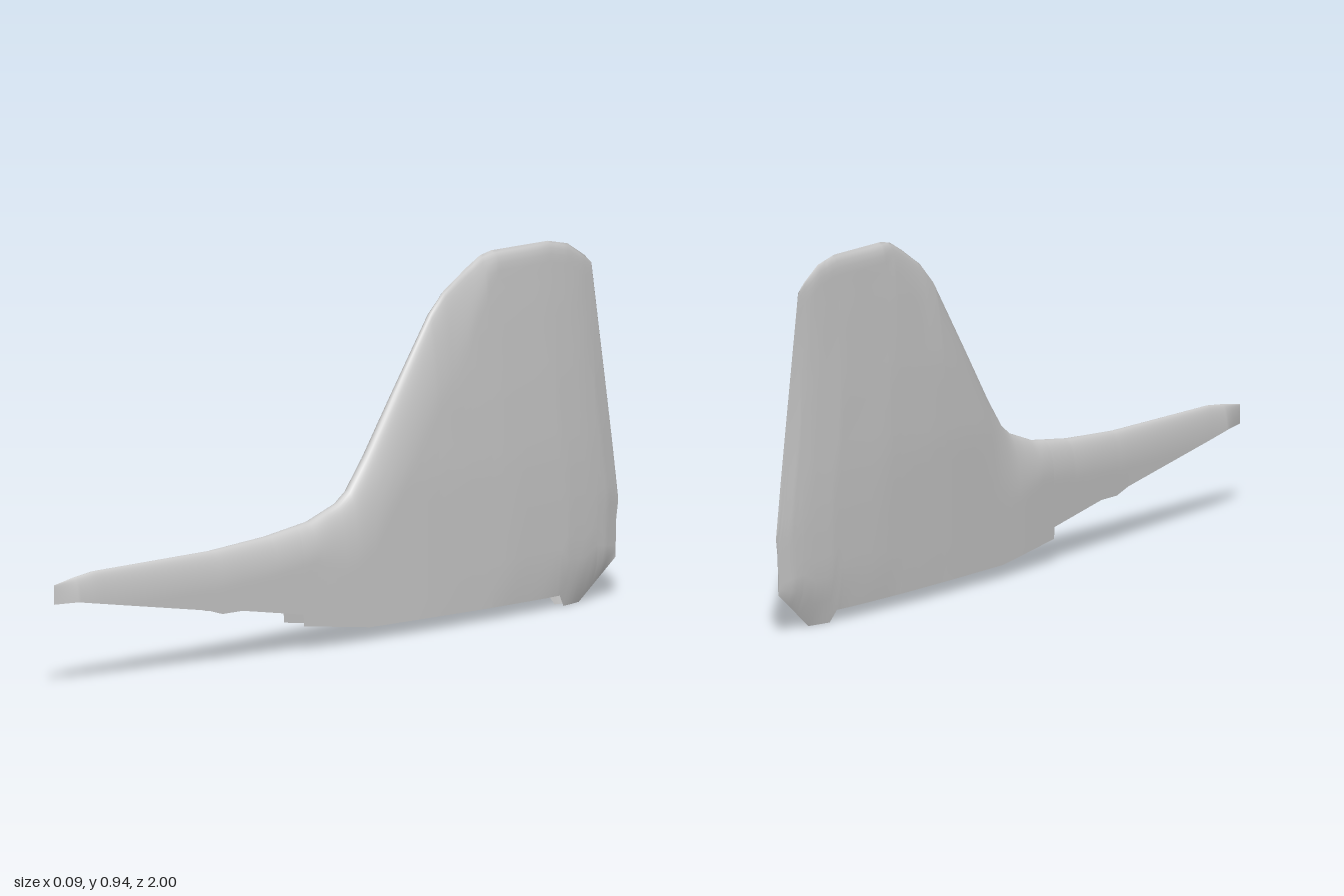
import * as THREE from 'three';

// Piecewise-linear lookup in a list of [key, value] pairs with descending keys
function lookup(table, k) {
  if (k >= table[0][0]) return table[0][1];
  for (let i = 1; i < table.length; i++) {
    const [k0, v0] = table[i - 1], [k1, v1] = table[i];
    if (k >= k1) return v0 + (v1 - v0) * (k0 - k) / (k0 - k1);
  }
  return table[table.length - 1][1];
}

// Side outline: z -> height of the upper and lower edges
const TOP = [[1, 0.27], [0.93, 0.282], [0.86, 0.29], [0.45, 0.292], [0.25, 0.305], [0.1, 0.325], [0, 0.36],
  [-0.04, 0.39], [-0.1, 0.47], [-0.2, 0.62], [-0.33, 0.81], [-0.38, 0.86], [-0.46, 0.91], [-0.51, 0.937],
  [-0.55, 0.945], [-0.75, 0.945], [-0.82, 0.93], [-0.88, 0.893], [-0.905, 0.87], [-0.93, 0.71],
  [-0.96, 0.52], [-0.98, 0.39], [-1, 0.25]];
const BOTTOM = [[1, 0.22], [0.93, 0.22], [0.48, 0.145], [0.43, 0.13], [0.36, 0.13], [0.15, 0.095],
  [0.149, 0.065], [-0.08, 0.035], [-0.77, 0.03], [-0.79, 0], [-0.86, 0], [-0.99, 0.1], [-0.992, 0.2], [-1, 0.245]];

// Thickness rules: along the length, up the fin, at the nose radius and towards the trailing edge
const LENGTH_WIDTH = [[1, 0], [0.93, 0.02], [0.5, 0.027], [0.2, 0.035], [0, 0.041], [-0.3, 0.043]];
const HEIGHT_SCALE = [[0.945, 0.45], [0.8, 0.65], [0.6, 0.86], [0.4, 1]];
const EDGE_RADIUS = [[0.1, 0.1], [-0.1, 0.25], [-0.4, 0.25], [-0.55, 0.04]];
const TRAILING_Z = [[0.945, -0.9], [0.87, -0.905], [0.52, -0.96], [0.27, -1], [0.1, -0.99], [0, -0.86]];
const TRAILING_TAPER = [[0.6, 1], [0.4, 0.95], [0.2, 0.72], [0.1, 0.48], [0.05, 0.3], [0, 0]];

function halfWidth(z, y, top) {
  const d = Math.min(1, (top - y) / lookup(EDGE_RADIUS, z));
  const nose = Math.sqrt(Math.max(0, 1 - (1 - d) ** 2));
  const tail = lookup(TRAILING_TAPER, z - lookup(TRAILING_Z, y));
  return lookup(LENGTH_WIDTH, z) * lookup(HEIGHT_SCALE, y) * nose * tail;
}

// Hollow skin lofted from upright sections, open along the bottom
function finGeometry() {
  const stations = new Set([...TOP, ...BOTTOM].map(p => p[0]));
  for (let i = 0; i <= 50; i++) stations.add(+(1 - i * 0.04).toFixed(3));
  for (let i = 1; i < 10; i++) stations.add(+(-0.9 - i * 0.01).toFixed(3));
  const zs = [...stations].sort((a, b) => b - a);
  const half = 24, row = half * 2 + 1;
  const positions = [], index = [];
  zs.forEach((z, i) => {
    const top = lookup(TOP, z), bottom = lookup(BOTTOM, z);
    for (let j = -half; j <= half; j++) {
      const y = top + (bottom - top) * Math.pow(Math.abs(j) / half, 1.6);
      positions.push(Math.sign(j) * halfWidth(z, y, top), y, z);
      if (i > 0 && j < half) {
        const b = i * row + j + half, a = b - row;
        index.push(a, a + 1, b, a + 1, b + 1, b);
      }
    }
  });
  const geometry = new THREE.BufferGeometry();
  geometry.setAttribute('position', new THREE.Float32BufferAttribute(positions, 3));
  geometry.setIndex(index);
  geometry.computeVertexNormals();
  return geometry;
}

export function createModel() {
  const group = new THREE.Group();
  group.name = 'tailFin';
  const material = new THREE.MeshStandardMaterial({ color: 0xcccccc, side: THREE.DoubleSide });
  const skin = new THREE.Mesh(finGeometry(), material);
  skin.name = 'finSkin';
  group.add(skin);
  return group;
}
